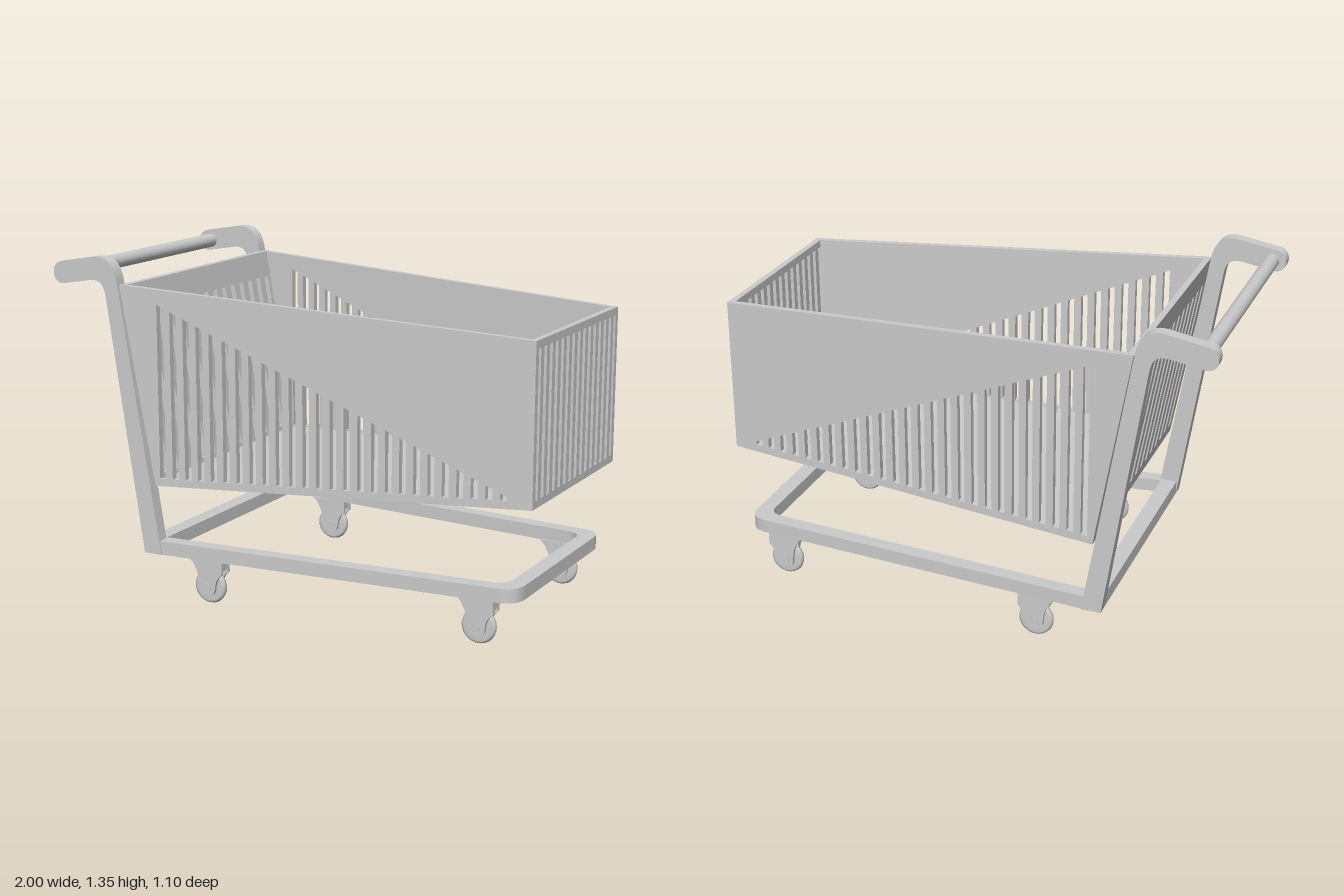
import * as THREE from 'three';

const material = new THREE.MeshStandardMaterial({ color: 0xcccccc, side: THREE.DoubleSide });
const { lerp } = THREE.MathUtils;
const WALL = 0.025;

// Basket rules: tapering half width, sloping rim and floor, leaning back
const halfWidth = x => lerp(0.54, 0.4, (x + 0.69) / 1.69);
const rimY = x => lerp(1.245, 1.16, (x + 0.69) / 1.69);
const floorY = x => lerp(0.455, 0.54, (x + 0.55) / 1.55);
const backX = y => lerp(-0.55, -0.69, (y - 0.455) / 0.79);

const polygon = pts => new THREE.Shape(pts.map(p => new THREE.Vector2(...p)));

function add(parent, name, geometry) {
  const mesh = new THREE.Mesh(geometry, material);
  mesh.name = name;
  parent.add(mesh);
  return mesh;
}

function extrude(shape, depth, curveSegments = 10) {
  return new THREE.ExtrudeGeometry(shape, { depth, bevelEnabled: false, curveSegments });
}

// Extrudes a flat panel, then places each vertex with rule(u, v, depth)
function panel(shape, rule) {
  const geometry = extrude(shape, WALL);
  const p = geometry.attributes.position;
  for (let i = 0; i < p.count; i++) p.setXYZ(i, ...rule(p.getX(i), p.getY(i), p.getZ(i)));
  geometry.computeVertexNormals();
  return geometry;
}

// Cuts evenly spaced upright slots; low and high give their end heights
function cutSlots(shape, count, first, pitch, width, low, high) {
  for (let i = 0; i < count; i++) {
    const a = first + i * pitch, b = a + width;
    shape.holes.push(polygon([[a, low(a)], [a, high(a)], [b, high(b)], [b, low(b)]]));
  }
  return shape;
}

function createBasket() {
  const basket = new THREE.Group();
  basket.name = 'basket';

  const side = cutSlots(
    polygon([[-0.55, 0.455], [1, 0.54], [1, 1.16], [-0.69, 1.245]]),
    27, -0.528, 0.0562, 0.027, x => floorY(x) + 0.03, x => rimY(x) - 0.035);
  add(basket, 'leftBasketSide', panel(side, (x, y, d) => [x, y, halfWidth(x) - WALL + d]));
  add(basket, 'rightBasketSide', panel(side, (x, y, d) => [x, y, -halfWidth(x) + d]));

  const front = cutSlots(
    polygon([[-0.4, 0.54], [0.4, 0.54], [0.4, 1.16], [-0.4, 1.16]]),
    15, -0.3795, 0.0525, 0.025, () => 0.57, () => 1.13);
  add(basket, 'basketFront', panel(front, (u, y, d) => [1 - WALL + d, y, -u]));

  const back = cutSlots(
    polygon([[-0.525, 0.455], [0.525, 0.455], [0.535, 1.245], [-0.535, 1.245]]),
    15, -0.49, 0.068, 0.03, () => 0.5, () => 1.14);
  add(basket, 'basketBack', panel(back, (u, y, d) => [backX(y) + d, y, -u]));

  const floor = polygon([[-0.55, -0.525], [1, -0.4], [1, 0.4], [-0.55, 0.525]]);
  add(basket, 'basketFloor', panel(floor, (x, v, d) => [x, floorY(x) + d, -v]));
  return basket;
}

// Tapered outline with rounded front corners
function frameOutline(path, back, front, backHalf, frontHalf, r) {
  path.moveTo(back, -backHalf);
  path.lineTo(front - r, -frontHalf - 0.005);
  path.quadraticCurveTo(front, -frontHalf, front, -frontHalf + r);
  path.lineTo(front, frontHalf - r);
  path.quadraticCurveTo(front, frontHalf, front - r, frontHalf + 0.005);
  path.lineTo(back, backHalf);
  path.closePath();
  return path;
}

// Upright leg that bends back into a round-ended handle arm
function createUprightGeometry() {
  const s = new THREE.Shape();
  s.moveTo(-0.595, 0.18);
  s.lineTo(-0.516, 0.18);
  s.lineTo(-0.695, 1.25);
  s.bezierCurveTo(-0.705, 1.32, -0.74, 1.355, -0.8, 1.347);
  s.lineTo(-0.967, 1.318);
  s.bezierCurveTo(-1.012, 1.308, -1.01, 1.228, -0.955, 1.232);
  s.lineTo(-0.82, 1.255);
  s.bezierCurveTo(-0.77, 1.262, -0.755, 1.235, -0.748, 1.18);
  s.closePath();
  return extrude(s, 0.05, 12);
}

function createCaster() {
  const caster = new THREE.Group();
  caster.name = 'caster';

  // Wheel with a rounded tread
  const profile = [[0, -0.015], [0.058, -0.015], [0.067, -0.01], [0.07, 0], [0.067, 0.01], [0.058, 0.015], [0, 0.015]];
  const tyre = new THREE.LatheGeometry(profile.map(p => new THREE.Vector2(...p)), 28);
  add(caster, 'wheel', tyre.rotateX(Math.PI / 2)).position.y = 0.07;
  const axle = new THREE.CylinderGeometry(0.016, 0.016, 0.066, 16).rotateX(Math.PI / 2);
  add(caster, 'axle', axle).position.y = 0.07;

  // Fork cheeks either side of the wheel, joined by a crown
  const cheek = new THREE.Shape();
  cheek.moveTo(-0.085, 0.182);
  cheek.quadraticCurveTo(-0.04, 0.15, -0.036, 0.07);
  cheek.absarc(0, 0.07, 0.036, Math.PI, Math.PI * 2, false);
  cheek.quadraticCurveTo(0.04, 0.11, 0.068, 0.13);
  cheek.lineTo(0.068, 0.182);
  cheek.closePath();
  const cheekGeometry = extrude(cheek, 0.012);
  for (const z of [-0.03, 0.018]) add(caster, 'forkCheek', cheekGeometry).position.z = z;
  add(caster, 'forkCrown', new THREE.BoxGeometry(0.125, 0.04, 0.05)).position.set(0.003, 0.162, 0);
  return caster;
}

export function createModel() {
  const cart = new THREE.Group();
  cart.name = 'shoppingCart';
  cart.add(createBasket());

  // Open base frame
  const frame = frameOutline(new THREE.Shape(), -0.595, 0.955, 0.55, 0.42, 0.08);
  frame.holes.push(frameOutline(new THREE.Path(), -0.53, 0.89, 0.485, 0.362, 0.06));
  add(cart, 'baseFrame', extrude(frame, 0.055).rotateX(-Math.PI / 2)).position.y = 0.18;

  // Uprights and push bar
  const upright = createUprightGeometry();
  add(cart, 'leftUpright', upright).position.z = 0.498;
  add(cart, 'rightUpright', upright).position.z = -0.548;
  const bar = new THREE.CylinderGeometry(0.029, 0.029, 1.02, 24).rotateX(Math.PI / 2);
  add(cart, 'handleBar', bar).position.set(-0.942, 1.276, 0);

  // Four casters under the frame
  for (const side of [-1, 1]) {
    for (const [x, z] of [[-0.32, 0.492], [0.797, 0.395]]) {
      const caster = createCaster();
      caster.position.set(x, 0, side * z);
      cart.add(caster);
    }
  }
  return cart;
}
